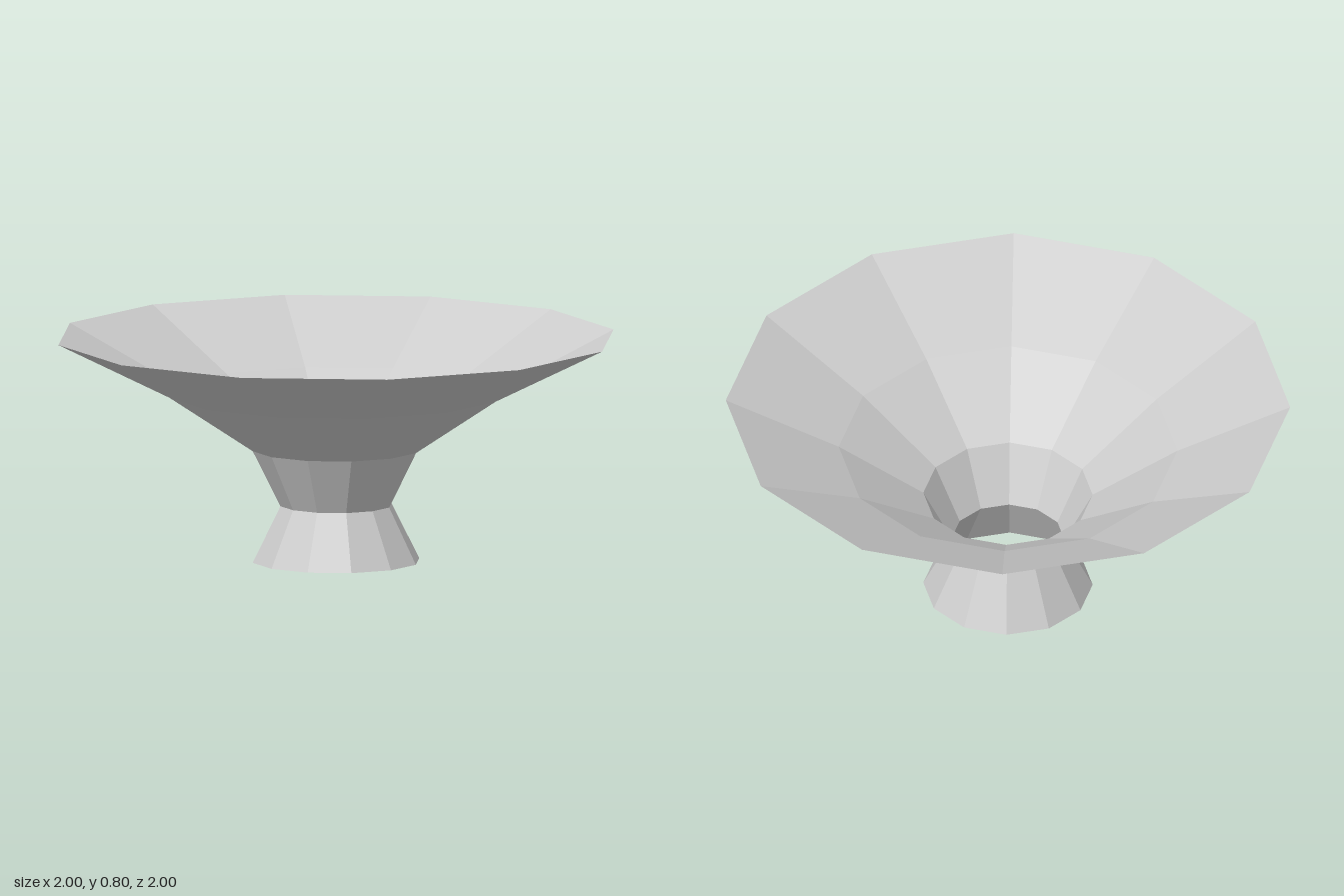
import * as THREE from 'three';

const SIDES = 12;

// Open, thin-walled faceted ring turned from [radius, height] points
function turned(name, profile, material) {
  const points = profile.map(([r, y]) => new THREE.Vector2(r, y));
  const mesh = new THREE.Mesh(new THREE.LatheGeometry(points, SIDES), material);
  mesh.name = name;
  return mesh;
}

export function createModel() {
  const model = new THREE.Group();
  model.name = 'pedestalBowl';
  const material = new THREE.MeshStandardMaterial({
    color: 0xcccccc, flatShading: true, side: THREE.DoubleSide,
  });

  // Flared foot, narrowing to the waist
  model.add(turned('foot', [[0.3, 0], [0.2, 0.2]], material));
  // Neck, widening from the waist to the bowl
  model.add(turned('neck', [[0.2, 0.2], [0.3, 0.4]], material));
  // Wide bowl, open at the top and through the middle
  model.add(turned('bowl', [[0.3, 0.4], [0.6, 0.6], [1, 0.8]], material));

  return model;
}
